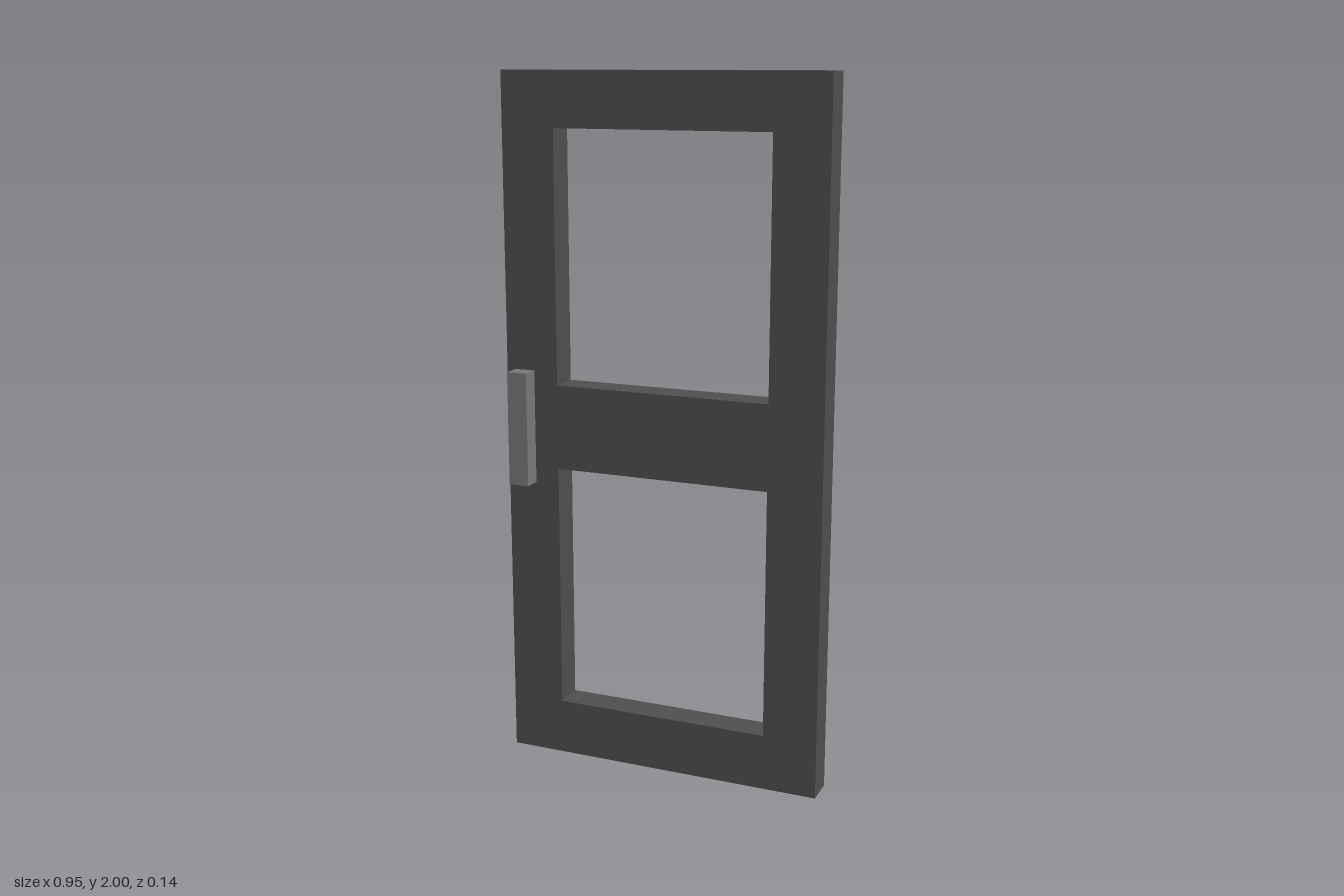
import * as THREE from 'three';

const HALF_W = 0.475, HEIGHT = 2, BACK = -0.07, FRONT = 0.018;

// Adds a closed rectangle to a shape or path
function rect(path, x0, y0, x1, y1) {
  path.moveTo(x0, y0);
  path.lineTo(x1, y0);
  path.lineTo(x1, y1);
  path.lineTo(x0, y1);
  path.closePath();
  return path;
}

export function createModel() {
  const group = new THREE.Group();
  group.name = 'door';

  const darkGrey = new THREE.MeshStandardMaterial({ color: 0x505050 });
  darkGrey.name = 'dark grey';
  const midGrey = new THREE.MeshStandardMaterial({ color: 0x7a7a7a });
  midGrey.name = 'mid grey';

  // Door frame: one slab with two open panels
  const outline = rect(new THREE.Shape(), -HALF_W, 0, HALF_W, HEIGHT);
  for (const [bottom, top] of [[0.163, 0.882], [1.127, 1.845]]) {
    outline.holes.push(rect(new THREE.Path(), -0.317, bottom, 0.317, top));
  }
  const frame = new THREE.Mesh(
    new THREE.ExtrudeGeometry(outline, { depth: FRONT - BACK, bevelEnabled: false }),
    darkGrey
  );
  frame.name = 'doorFrame';
  frame.position.z = BACK;
  group.add(frame);

  // Pull handle on the front of the right stile
  const depth = 0.07 - FRONT;
  const handle = new THREE.Mesh(new THREE.BoxGeometry(0.06, 0.33, depth), midGrey);
  handle.name = 'handle';
  handle.position.set(-0.419, 1, FRONT + depth / 2);
  group.add(handle);

  return group;
}
